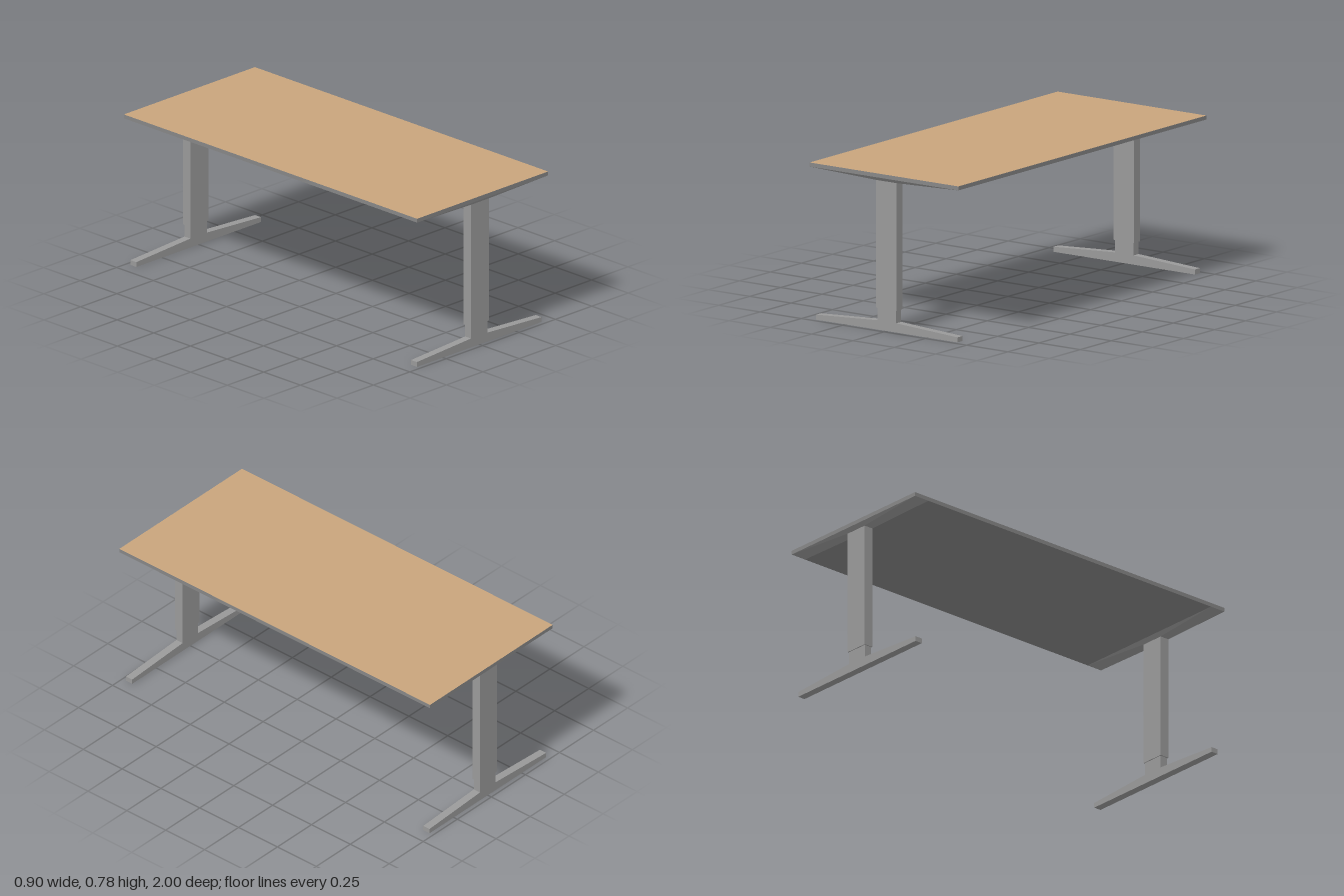
import * as THREE from 'three';

export function createModel() {
  const model = new THREE.Group();
  model.name = 'table';

  const material = (name, color) => {
    const m = new THREE.MeshStandardMaterial({ color });
    m.name = name;
    return m;
  };
  const wood = material('wood', 0xc8a47c);
  const metal = material('grey metal', 0x999999);
  const edge = material('dark grey edge', 0x868686);

  const add = (parent, name, geometry, mat, x = 0, y = 0, z = 0) => {
    const mesh = new THREE.Mesh(geometry, mat);
    mesh.name = name;
    mesh.position.set(x, y, z);
    parent.add(mesh);
    return mesh;
  };

  // Table top: wooden upper face, grey edges and underside
  add(model, 'tableTop', new THREE.BoxGeometry(0.9, 0.02, 2),
    [edge, edge, wood, edge, edge, edge], 0, 0.77, 0);

  // Shallow bracket, wide under the top and narrowing to the column
  const bracketGeometry = () => {
    const box = new THREE.BoxGeometry(0.9, 0.018, 0.086).toNonIndexed();
    const p = box.attributes.position;
    for (let i = 0; i < p.count; i++) {
      if (p.getY(i) < 0) {
        p.setX(i, Math.sign(p.getX(i)) * 0.062);
        p.setZ(i, Math.sign(p.getZ(i)) * 0.025);
      }
    }
    box.computeVertexNormals();
    return box;
  };

  // Foot and lower post share one outline
  const outline = new THREE.Shape([
    [-0.428, 0], [0.428, 0], [0.428, 0.025], [0.057, 0.046], [0.057, 0.12],
    [-0.057, 0.12], [-0.057, 0.046], [-0.428, 0.025],
  ].map(([x, y]) => new THREE.Vector2(x, y)));
  const footGeometry = new THREE.ExtrudeGeometry(outline, { depth: 0.04, bevelEnabled: false });
  footGeometry.translate(0, 0, -0.02);

  // A leg at each end
  for (const [name, side] of [['frontLeg', 1], ['backLeg', -1]]) {
    const leg = new THREE.Group();
    leg.name = name;
    leg.position.z = side * 0.957;
    add(leg, 'foot', footGeometry, metal);
    add(leg, 'column', new THREE.BoxGeometry(0.124, 0.634, 0.049), metal, 0, 0.426, 0);
    add(leg, 'bracket', bracketGeometry(), metal, 0, 0.751, 0);
    model.add(leg);
  }
  return model;
}
